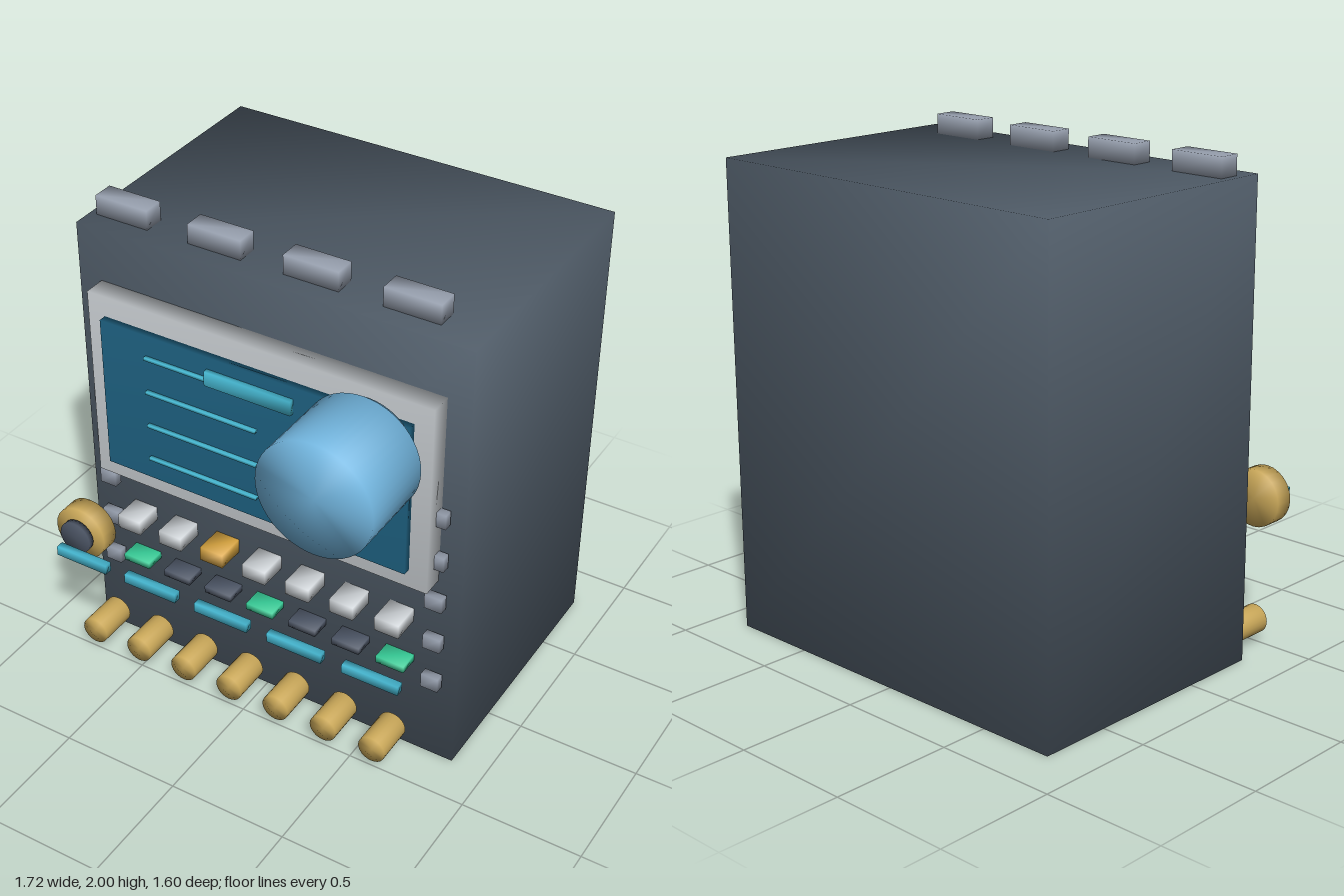
import * as THREE from 'three';
import { mergeVertices } from 'three/addons/utils/BufferGeometryUtils.js';

const mat = (name, color) => {
  const m = new THREE.MeshStandardMaterial({ color });
  m.name = name;
  return m;
};

// Weld corners so that shading runs softly across the edges
function soften(geometry) {
  geometry.deleteAttribute('normal');
  geometry.deleteAttribute('uv');
  const welded = mergeVertices(geometry, 1e-4);
  welded.computeVertexNormals();
  return welded;
}

export function createModel() {
  const group = new THREE.Group();
  const slate = mat('slate', 0x566370);
  const silver = mat('silver', 0xcbd0d4);
  const grey = mat('grey', 0x9ca5b4);
  const screenBlue = mat('screen blue', 0x1f6485);
  const skyBlue = mat('sky blue', 0x72b5de);
  const cyan = mat('cyan', 0x46b8d2);
  const brass = mat('brass', 0xcaa859);
  const amber = mat('amber', 0xdaa640);
  const green = mat('green', 0x36cb96);
  const darkGrey = mat('dark grey', 0x4c5565);

  const add = (name, geometry, material) => {
    const mesh = new THREE.Mesh(soften(geometry), material);
    mesh.name = name;
    group.add(mesh);
    return mesh;
  };
  // Box from its extents
  const box = (name, material, x0, x1, y0, y1, z0, z1) => {
    const mesh = add(name, new THREE.BoxGeometry(x1 - x0, y1 - y0, z1 - z0), material);
    mesh.position.set((x0 + x1) / 2, (y0 + y1) / 2, (z0 + z1) / 2);
  };
  // Box centred on x with a given width
  const bar = (name, material, x, w, y0, y1, z0, z1) =>
    box(name, material, x - w / 2, x + w / 2, y0, y1, z0, z1);
  // Cylinder pointing forwards
  const disc = (name, material, x, y, r, z0, z1, sides) => {
    const g = new THREE.CylinderGeometry(r, r, z1 - z0, sides).rotateX(Math.PI / 2);
    add(name, g, material).position.set(x, y, (z0 + z1) / 2);
  };

  // Cabinet and top vents
  box('cabinet', slate, -0.815, 0.855, 0, 1.92, -0.8, 0.315);
  for (let i = 0; i < 4; i++) bar('topVent', grey, -0.67 + i * 0.41, 0.23, 1.92, 2, 0.14, 0.228);

  // Display
  box('bezel', silver, -0.715, 0.757, 0.88, 1.7, 0.315, 0.406);
  box('screen', screenBlue, -0.64, 0.68, 0.963, 1.615, 0.406, 0.438);
  for (let i = 0; i < 4; i++) bar('textLine', cyan, -0.193, 0.486, 1.057 + i * 0.153, 1.069 + i * 0.153, 0.438, 0.455);
  box('titleBar', cyan, -0.163, 0.207, 1.504, 1.565, 0.432, 0.46);
  box('amberLine', amber, 0.315, 0.5, 1.208, 1.221, 0.445, 0.463);
  box('greenLine', green, 0.315, 0.5, 1.057, 1.069, 0.445, 0.463);

  // Large dial over the screen corner
  disc('dialCollar', skyBlue, 0.512, 1.487, 0.197, 0.438, 0.475, 40);
  disc('dial', skyBlue, 0.512, 1.474, 0.236, 0.472, 0.8, 48);

  // Key row and indicator lamps
  for (let i = 0; i < 7; i++) {
    const x = -0.57 + i * 0.1965;
    bar('key', i === 2 ? amber : silver, x, 0.104, 0.638, 0.7, 0.315, 0.435);
    bar('lamp', i % 3 === 0 ? green : darkGrey, x, 0.122, 0.442, 0.472, 0.315, 0.4);
  }

  // Floating light strip
  for (let i = 0; i < 5; i++) bar('lightStrip', cyan, -0.653 + i * 0.3285, 0.238, 0.579, 0.62, 0.615, 0.648);

  // Side knob
  disc('knob', brass, -0.745, 0.618, 0.117, 0.45, 0.528, 24);
  disc('knobCap', darkGrey, -0.745, 0.618, 0.072, 0.54, 0.565, 24);

  // Side rivets
  for (const x of [-0.72, 0.76])
    for (let i = 0; i < 5; i++) bar('rivet', grey, x, 0.073, 0.37 + i * 0.198, 0.433 + i * 0.198, 0.322, 0.358);

  // Bottom pegs
  for (let i = 0; i < 7; i++) disc('peg', brass, -0.727 + i * 0.2212, 0.092, 0.059, 0.343, 0.508, 24);

  return group;
}
